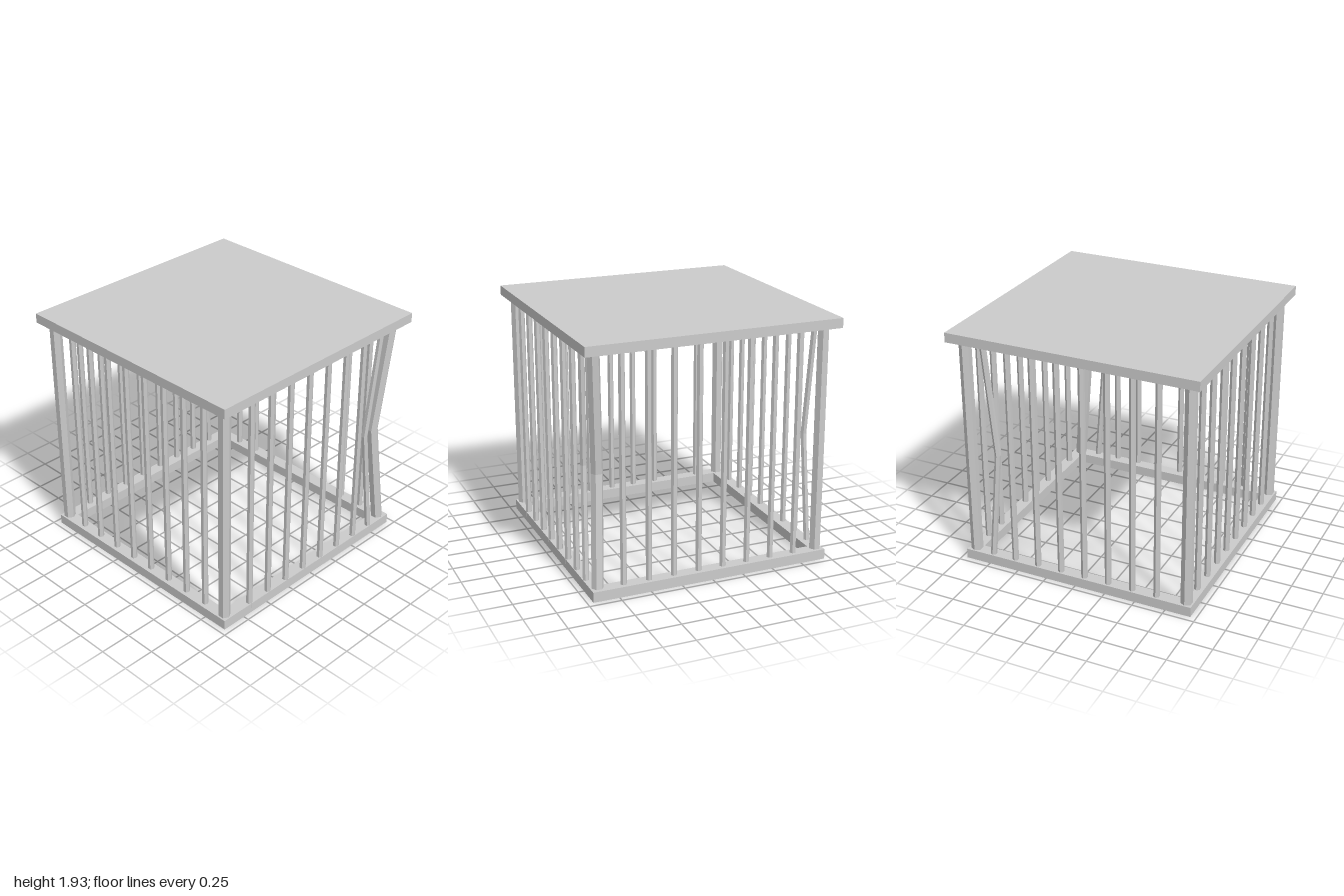
import * as THREE from 'three';

const mat = new THREE.MeshStandardMaterial({ color: 0xcccccc, flatShading: true });

function add(group, name, geo, x = 0, y = 0, z = 0) {
  const mesh = new THREE.Mesh(geo, mat);
  mesh.name = name;
  mesh.position.set(x, y, z);
  group.add(mesh);
}

// Upright six-sided rod; its middle ring can be pushed aside to bend it
function rod(radius, y0, y1, bendX = 0, bendZ = 0) {
  const bent = bendX !== 0 || bendZ !== 0;
  const geo = new THREE.CylinderGeometry(radius, radius, y1 - y0, 6, bent ? 2 : 1);
  const p = geo.attributes.position;
  for (let i = 0; bent && i < p.count; i++) {
    if (Math.abs(p.getY(i)) < 0.01) p.setXYZ(i, p.getX(i) + bendX, 0, p.getZ(i) + bendZ);
  }
  geo.translate(0, (y0 + y1) / 2, 0);
  return geo;
}

function square(Type, h) {
  const s = new Type();
  s.moveTo(-h, -h);
  s.lineTo(h, -h);
  s.lineTo(h, h);
  s.lineTo(-h, h);
  s.closePath();
  return s;
}

export function createModel() {
  const cage = new THREE.Group();
  cage.name = 'cage';

  // Solid roof slab
  add(cage, 'roof', new THREE.BoxGeometry(2, 0.075, 2), 0, 1.895, 0);

  // Open base frame
  const outline = square(THREE.Shape, 0.955);
  outline.holes.push(square(THREE.Path, 0.855));
  const frame = new THREE.ExtrudeGeometry(outline, { depth: 0.08, bevelEnabled: false });
  frame.rotateX(-Math.PI / 2);
  add(cage, 'baseFrame', frame);

  // Corner posts, the front one at +x bent inward
  for (const sx of [-1, 1]) {
    for (const sz of [-1, 1]) {
      const bent = sx > 0 && sz > 0;
      const geo = bent ? rod(0.047, 0.01, 1.865, -0.093, -0.045) : rod(0.047, 0.01, 1.865);
      add(cage, bent ? 'bentCornerPost' : 'cornerPost', geo, sx > 0 ? 0.892 : -0.901, 0, sz * 0.9);
    }
  }

  // Front and back bars, the last of each row bent
  for (let i = 0; i < 8; i++) {
    const x = -0.667 + i * 0.2;
    const bent = i === 7;
    add(cage, bent ? 'bentFrontBar' : 'frontBar',
      bent ? rod(0.025, 0.035, 1.87, -0.085, -0.03) : rod(0.025, 0.035, 1.87), x, 0, 0.931);
    add(cage, bent ? 'bentBackBar' : 'backBar',
      bent ? rod(0.025, 0.035, 1.87, -0.07, 0.025) : rod(0.025, 0.035, 1.87), x, 0, -0.92);
  }

  // Side bars
  for (let i = 0; i < 8; i++) {
    const z = -0.7 + i * 0.2;
    add(cage, 'leftBar', rod(0.025, 0.035, 1.87), 0.905, 0, z);
    add(cage, 'rightBar', rod(0.025, 0.035, 1.87), -0.905, 0, z);
  }
  return cage;
}
